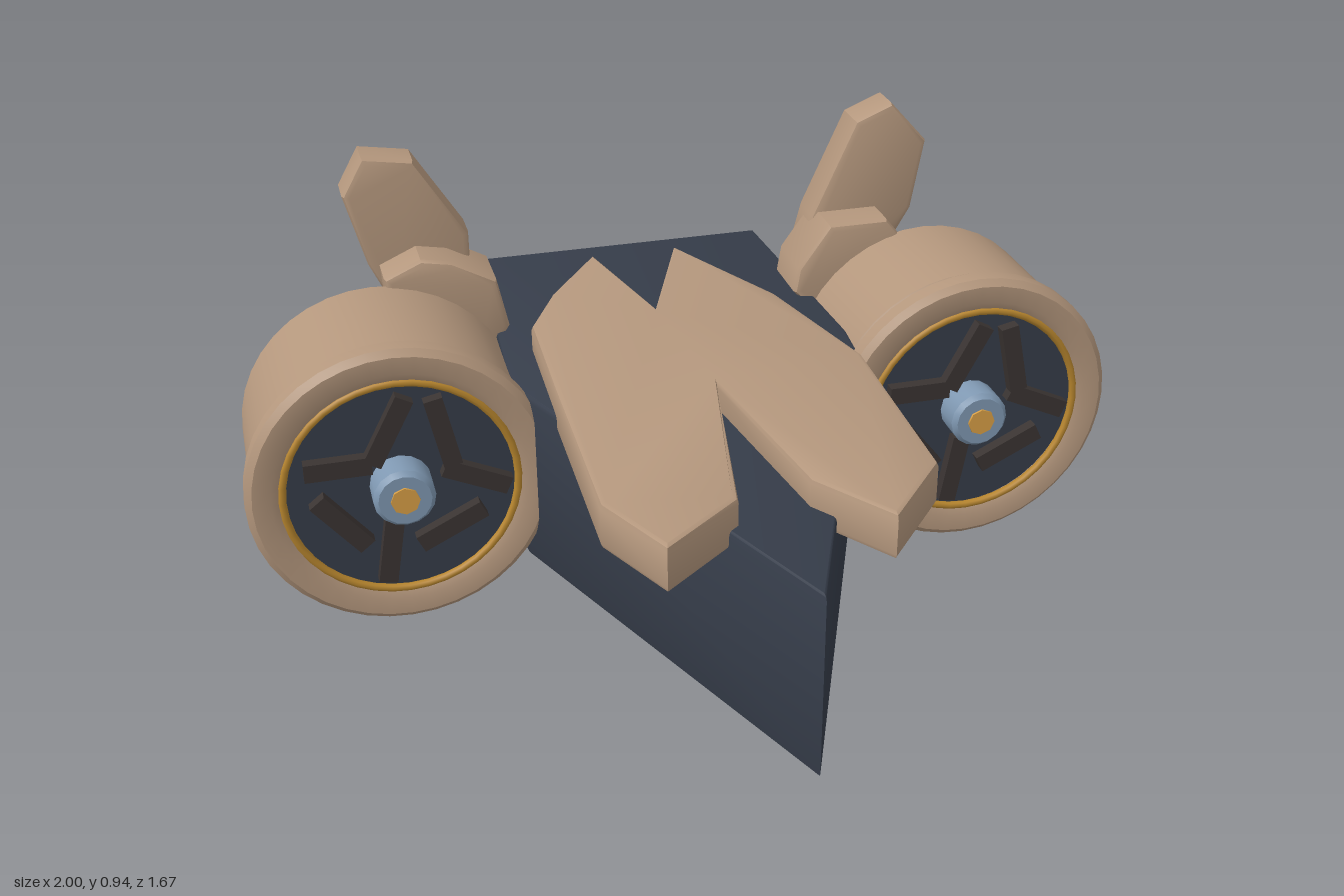
import * as THREE from 'three';
import { toCreasedNormals } from 'three/addons/utils/BufferGeometryUtils.js';

const mat = (name, color) => {
  const m = new THREE.MeshStandardMaterial({ color });
  m.name = name;
  return m;
};

export function createModel() {
  const tan = mat('tan', 0xb4977d);
  const navy = mat('darkNavy', 0x363d4a);
  const gold = mat('gold', 0xb8862e);
  const steel = mat('steelBlue', 0x8099b3);
  const amber = mat('amber', 0xd9a046);
  const brown = mat('darkBrown', 0x3a3432);

  const model = new THREE.Group();
  model.name = 'vehicle';

  const add = (parent, name, geometry, material) => {
    const mesh = new THREE.Mesh(geometry, material);
    mesh.name = name;
    parent.add(mesh);
    return mesh;
  };

  // Bevelled slab from an outline, occupying 0..depth along local z
  const slab = (points, depth, bevel) => {
    const shape = new THREE.Shape(points.map(([x, y]) => new THREE.Vector2(x, y)));
    const g = new THREE.ExtrudeGeometry(shape, {
      depth: depth - 2 * bevel, bevelEnabled: true, bevelSize: bevel,
      bevelThickness: bevel, bevelOffset: -bevel, bevelSegments: 2,
    });
    g.translate(0, 0, bevel);
    return toCreasedNormals(g, 0.6);
  };

  // Slab lying flat: outline given as [x, z]
  const flatSlab = (points, y0, y1, bevel) =>
    slab(points.map(([x, z]) => [x, -z]), y1 - y0, bevel).rotateX(-Math.PI / 2).translate(0, y0, 0);

  // Hull, pointed at the front
  add(model, 'hull', flatSlab([
    [-0.365, -0.837], [-0.4, -0.2], [-0.39, -0.09], [0, 0.837],
    [0.39, -0.09], [0.4, -0.2], [0.365, -0.837],
  ], 0.095, 0.51, 0.01), navy);

  // Split deck plate with forked ends
  add(model, 'deckPlate', flatSlab([
    [-0.345, 0.51], [-0.26, 0.695], [-0.085, 0.56], [0.005, 0.09], [0.07, 0.53],
    [0.187, 0.7], [0.335, 0.53], [0.35, 0.04], [0.26, -0.315], [0.1, -0.645],
    [-0.03, -0.31], [-0.105, -0.645], [-0.245, -0.45], [-0.325, -0.29], [-0.335, 0.03],
  ], 0.47, 0.572, 0.012), tan);

  // Wheel pods
  const podProfile = [
    [0, -0.425], [0.305, -0.425], [0.32, -0.412], [0.32, -0.122], [0.308, -0.112],
    [0.305, -0.106], [0.322, -0.106], [0.335, -0.092], [0.335, -0.056], [0.32, -0.042],
    [0.28, -0.042], [0.262, -0.05], [0.262, -0.085],
  ].map(([r, z]) => new THREE.Vector2(r, z));
  // Spokes as [x1, y1, x2, y2] from the wheel centre
  const spokes = [
    [-0.205, 0.065, -0.06, 0.065], [-0.06, 0.065, 0.02, 0.215],
    [0.08, 0.205, 0.115, 0.04], [0.095, 0.035, 0.235, -0.03],
    [-0.02, -0.07, -0.048, -0.235], [-0.185, -0.01, -0.085, -0.135],
    [0.03, -0.15, 0.175, -0.08],
  ];
  for (const side of [-1, 1]) {
    const wheel = new THREE.Group();
    wheel.name = side > 0 ? 'leftWheel' : 'rightWheel';
    wheel.position.set(side * 0.665, 0.335, 0);
    model.add(wheel);

    const pod = new THREE.LatheGeometry(podProfile, 40).rotateX(Math.PI / 2);
    add(wheel, 'drum', toCreasedNormals(pod, 0.6), tan);
    add(wheel, 'wheelFace', new THREE.CircleGeometry(0.262, 40).translate(0, 0, -0.075), navy);
    add(wheel, 'rimRing', new THREE.TorusGeometry(0.256, 0.009, 8, 40).translate(0, 0, -0.052), gold);

    for (const [x1, y1, x2, y2] of spokes) {
      const bar = add(wheel, 'spoke',
        new THREE.BoxGeometry(Math.hypot(x2 - x1, y2 - y1), 0.042, 0.03), brown);
      bar.position.set((x1 + x2) / 2, (y1 + y2) / 2, -0.063);
      bar.rotation.z = Math.atan2(y2 - y1, x2 - x1);
    }

    const hub = [[0.068, -0.08], [0.068, -0.008], [0.058, 0.004], [0, 0.004]]
      .map(([r, z]) => new THREE.Vector2(r, z));
    add(wheel, 'hub', toCreasedNormals(new THREE.LatheGeometry(hub, 16).rotateX(Math.PI / 2), 0.6), steel);
    add(wheel, 'hubCap', new THREE.CylinderGeometry(0.032, 0.032, 0.02, 8)
      .rotateX(Math.PI / 2).translate(0, 0, -0.001), amber);

    // Small pin joining drum and bracket
    add(wheel, 'pin', new THREE.CylinderGeometry(0.014, 0.014, 0.08, 10)
      .rotateZ(Math.PI / 2).translate(-side * 0.06, 0.145, -0.425), gold);
  }

  // Brackets and tail fins behind each wheel
  add(model, 'leftBracket', slab([
    [0.34, 0.52], [0.58, 0.268], [0.63, 0.45], [0.655, 0.58],
    [0.57, 0.685], [0.425, 0.685], [0.35, 0.58],
  ], 0.165, 0.015).translate(0, 0, -0.565), tan);
  add(model, 'rightBracket', slab([
    [-0.635, 0.67], [-0.62, 0.45], [-0.52, 0.268], [-0.42, 0.42],
    [-0.355, 0.52], [-0.38, 0.64], [-0.48, 0.695], [-0.55, 0.708],
  ], 0.165, 0.015).translate(0, 0, -0.565), tan);
  add(model, 'leftFin', slab([
    [0.385, 0.58], [0.395, 0.45], [0.43, 0.43], [0.62, 0.59], [0.667, 0.67],
    [0.697, 0.84], [0.605, 0.942], [0.515, 0.905], [0.41, 0.675],
  ], 0.105, 0.015).translate(0, 0, -0.6), tan);
  add(model, 'rightFin', slab([
    [-0.705, 0.84], [-0.66, 0.67], [-0.61, 0.56], [-0.47, 0.43], [-0.425, 0.5],
    [-0.425, 0.725], [-0.54, 0.91], [-0.655, 0.928],
  ], 0.105, 0.015).translate(0, 0, -0.6), tan);

  return model;
}
